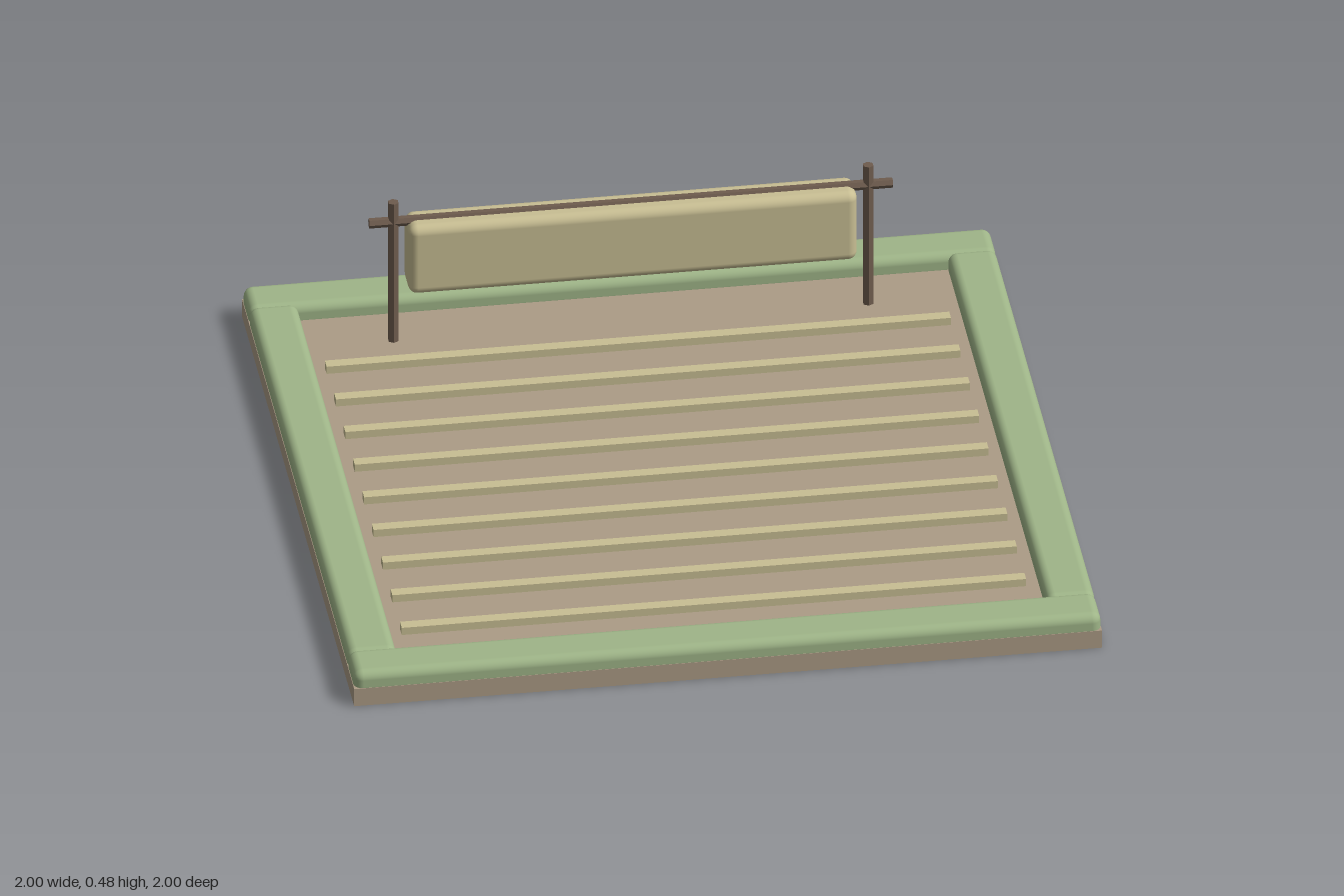
import * as THREE from 'three';
import { RoundedBoxGeometry } from 'three/addons/geometries/RoundedBoxGeometry.js';

const material = (name, color, flatShading = false) => {
  const m = new THREE.MeshStandardMaterial({ color, flatShading });
  m.name = name;
  return m;
};

export function createModel() {
  const green = material('sage green', 0x9fb588);
  const earth = material('earth brown', 0xac9c86);
  const tan = material('pale tan', 0xc8be93);
  const wood = material('dark wood', 0x6e5c4e, true);

  const model = new THREE.Group();
  model.name = 'borderedBed';

  const add = (name, geometry, mat, x, y, z) => {
    const mesh = new THREE.Mesh(geometry, mat);
    mesh.name = name;
    mesh.position.set(x, y, z);
    model.add(mesh);
    return mesh;
  };

  // Flat base slab
  add('base', new THREE.BoxGeometry(2, 0.053, 2), earth, 0, 0.0265, 0);

  // Rounded border, long bars front and back with side bars between them
  const barBottom = 0.03, barTop = 0.1, barWidth = 0.13;
  const barHeight = barTop - barBottom, barY = (barTop + barBottom) / 2;
  const longBar = new RoundedBoxGeometry(1.998, barHeight, barWidth, 4, 0.025);
  const sideBar = new RoundedBoxGeometry(barWidth, barHeight, 1.78, 4, 0.025);
  for (const side of [-1, 1]) {
    add(side > 0 ? 'frontBorder' : 'backBorder', longBar, green, 0, barY, side * 0.934);
    add(side > 0 ? 'leftBorder' : 'rightBorder', sideBar, green, side * 0.934, barY, 0);
  }

  // Nine raised rows across the floor
  const row = new THREE.BoxGeometry(1.67, 0.03, 0.032);
  for (let i = 0; i < 9; i++) {
    add('row', row, tan, 0, 0.06, -0.607 + i * 0.1673);
  }

  // Hanging panel
  const panelZ = -0.735;
  add('panel', new RoundedBoxGeometry(1.2, 0.21, 0.106, 4, 0.025), tan, 0, 0.32, panelZ);

  // Two posts and the crossbar over the panel
  const post = new THREE.CylinderGeometry(0.015, 0.015, 0.48, 6);
  for (const side of [-1, 1]) {
    add(side > 0 ? 'leftPost' : 'rightPost', post, wood, side * 0.635, 0.241, panelZ);
  }
  const crossbar = add('crossbar', new THREE.CylinderGeometry(0.0138, 0.0138, 1.4, 6), wood, 0, 0.42, panelZ);
  crossbar.rotation.z = Math.PI / 2;

  return model;
}
